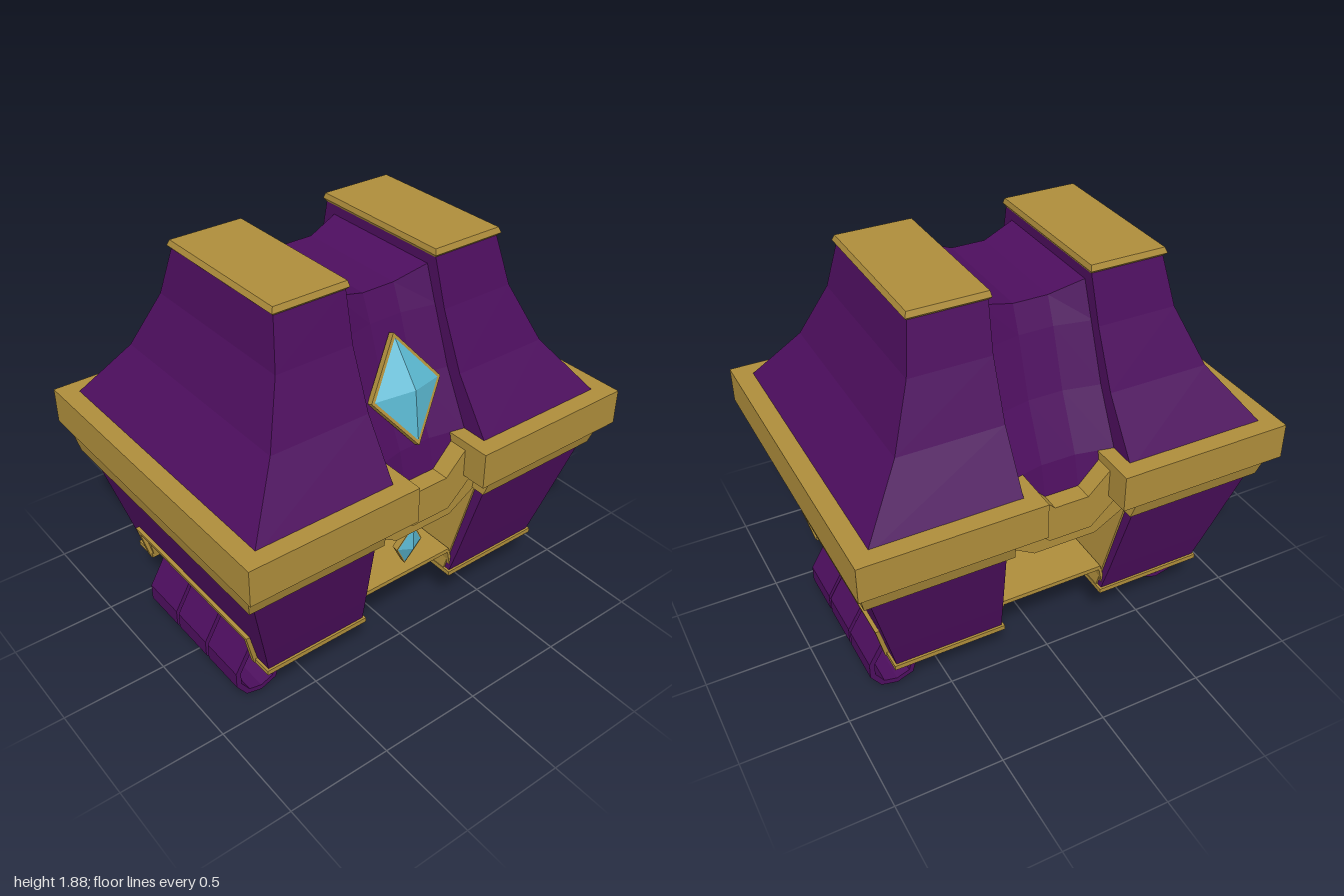
import * as THREE from 'three';

const purple = new THREE.MeshStandardMaterial({ color: 0x4d0e5e, flatShading: true });
const gold = new THREE.MeshStandardMaterial({ color: 0xae8d3b, flatShading: true });
const crystal = new THREE.MeshStandardMaterial({ color: 0x5cb9d2, flatShading: true });
purple.name = 'purple';
gold.name = 'gold';
crystal.name = 'crystal blue';

function add(parent, name, geometry, material) {
  const mesh = new THREE.Mesh(geometry, material);
  mesh.name = name;
  parent.add(mesh);
  return mesh;
}

// Solid skin through rings of equal point count, capped at both ends
function loft(rings) {
  const out = [];
  const tri = (a, b, c) => out.push(...a, ...b, ...c);
  const n = rings[0].length;
  for (let r = 0; r + 1 < rings.length; r++) {
    const a = rings[r], b = rings[r + 1];
    for (let i = 0; i < n; i++) {
      const j = (i + 1) % n;
      tri(a[i], a[j], b[j]);
      tri(a[i], b[j], b[i]);
    }
  }
  const first = rings[0], last = rings[rings.length - 1];
  const capFaces = THREE.ShapeUtils.triangulateShape(
    first.map((p, i) => flatPoint(first, p)), []);
  for (const [a, b, c] of capFaces) {
    tri(first[c], first[b], first[a]);
    tri(last[a], last[b], last[c]);
  }
  const g = new THREE.BufferGeometry();
  g.setAttribute('position', new THREE.Float32BufferAttribute(out, 3));
  g.computeVertexNormals();
  return g;
}

// Drops the constant axis of a planar ring, keeping its winding
function flatPoint(ring, p) {
  const level = ring.every(q => q[1] === ring[0][1]);
  return level ? new THREE.Vector2(p[0], -p[2]) : new THREE.Vector2(p[0], p[1]);
}

// Horizontal rectangles stacked in y: each level is [y, x0, x1, z0, z1]
const stack = (...levels) => loft(levels.map(([y, x0, x1, z0, z1]) =>
  [[x0, y, z0], [x0, y, z1], [x1, y, z1], [x1, y, z0]]));

// Outline drawn in (z, y), extruded across x
function across(points, halfWidth) {
  const shape = new THREE.Shape(points.map(([z, y]) => new THREE.Vector2(-z, y)));
  const g = new THREE.ExtrudeGeometry(shape, { depth: halfWidth * 2, bevelEnabled: false });
  return g.translate(0, 0, -halfWidth).rotateY(Math.PI / 2);
}

// Constant-thickness ribbon along a (z, y) path
function ribbon(path, thickness, halfWidth) {
  const pts = path.map(p => new THREE.Vector2(...p));
  const side = s => pts.map((p, i) => {
    const a = pts[Math.max(i - 1, 0)], b = pts[Math.min(i + 1, pts.length - 1)];
    const d = b.clone().sub(a).normalize();
    return [p.x - d.y * s, p.y + d.x * s];
  });
  return across([...side(thickness / 2), ...side(-thickness / 2).reverse()], halfWidth);
}

// Diamond gem with a gold backing, facing +x
function gem(name, x, y, halfH, halfW, depth, tilt) {
  const g = new THREE.Group();
  g.name = name;
  add(g, 'gemFrame', new THREE.CylinderGeometry(1, 1, 0.03, 4)
    .rotateZ(-Math.PI / 2).scale(1, halfH, halfW), gold);
  add(g, 'gemStone', new THREE.ConeGeometry(0.91, 1, 4).rotateZ(-Math.PI / 2)
    .translate(0.5, 0, 0).scale(depth, halfH, halfW).translate(0.016, 0, 0), crystal);
  g.position.set(x, y, 0);
  g.rotation.z = tilt;
  return g;
}

// One end of the body; the other end is the same turned half way round
function buildEnd(name) {
  const end = new THREE.Group();
  end.name = name;

  // Flared roof with cap
  add(end, 'roof', stack(
    [1.1, -0.71, 0.71, 0.25, 0.93], [1.37, -0.53, 0.53, 0.245, 0.72],
    [1.63, -0.42, 0.42, 0.24, 0.61], [1.855, -0.36, 0.36, 0.23, 0.57]), purple);
  add(end, 'roofCap', stack(
    [1.845, -0.36, 0.36, 0.23, 0.57], [1.86, -0.375, 0.375, 0.22, 0.585],
    [1.885, -0.365, 0.365, 0.225, 0.575]), gold);

  // Two-step rim
  add(end, 'upperRim', stack([0.95, -0.78, 0.78, 0.18, 1], [1.12, -0.78, 0.78, 0.18, 1]), gold);
  add(end, 'lowerRim', stack([0.815, -0.69, 0.69, 0.28, 0.95], [0.95, -0.73, 0.73, 0.3, 0.98]), gold);

  // Tapered leg, hollowed at the foot for the straps
  add(end, 'leg', stack([0.42, -0.57, 0.57, 0.275, 0.81], [0.82, -0.67, 0.67, 0.31, 0.92]), purple);
  add(end, 'legFoot', stack([0.27, -0.53, 0.53, 0.26, 0.56], [0.42, -0.57, 0.57, 0.275, 0.56]), purple);
  add(end, 'legInnerPanel', stack([0.27, -0.5, 0.5, 0.252, 0.262], [0.82, -0.62, 0.62, 0.3, 0.31]), gold);
  add(end, 'solePlate', stack([0.262, -0.545, 0.545, 0.25, 0.56], [0.285, -0.545, 0.545, 0.25, 0.56]), gold);
  add(end, 'notchCeiling', stack([0.412, -0.45, 0.45, 0.55, 0.81], [0.422, -0.45, 0.45, 0.55, 0.81]), gold);
  add(end, 'notchBack', stack([0.27, -0.43, 0.43, 0.55, 0.567], [0.42, -0.45, 0.45, 0.55, 0.567]), gold);
  for (const s of [-1, 1]) {
    const span = (a, b) => [Math.min(s * a, s * b), Math.max(s * a, s * b)];
    add(end, 'footPost', stack(
      [0.27, ...span(0.43, 0.53), 0.55, 0.77], [0.42, ...span(0.45, 0.57), 0.55, 0.81]), purple);
    add(end, 'notchSide', stack(
      [0.27, ...span(0.42, 0.432), 0.55, 0.775], [0.42, ...span(0.4, 0.452), 0.55, 0.81]), gold);
    add(end, 'footPostSole', stack(
      [0.262, ...span(0.42, 0.545), 0.55, 0.785], [0.285, ...span(0.42, 0.545), 0.55, 0.785]), gold);
  }

  // Gold frame round the notch, sheared to follow the leaning face
  const outline = [[-0.45, 0.265], [-0.465, 0.44], [0.465, 0.44], [0.45, 0.265],
    [0.425, 0.265], [0.44, 0.415], [-0.44, 0.415], [-0.425, 0.265]];
  const frame = new THREE.ExtrudeGeometry(
    new THREE.Shape(outline.map(p => new THREE.Vector2(...p))), { depth: 0.025, bevelEnabled: false });
  const pos = frame.attributes.position;
  for (let i = 0; i < pos.count; i++) {
    pos.setZ(i, pos.getZ(i) + 0.765 + (pos.getY(i) - 0.265) * 0.25);
  }
  frame.computeVertexNormals();
  add(end, 'notchFrame', frame, gold);

  // Three curled straps
  const curl = [[0.7, 0.41], [0.77, 0.28], [0.835, 0.17], [0.835, 0.1], [0.79, 0.035],
    [0.72, 0.018], [0.65, 0.045], [0.63, 0.11], [0.69, 0.16]];
  for (const x of [-0.228, 0.022, 0.272]) {
    add(end, 'curledStrap', ribbon(curl, 0.026, 0.115), purple).position.x = x;
  }
  return end;
}

export function createModel() {
  const model = new THREE.Group();
  model.name = 'ornateCasket';
  model.add(buildEnd('frontEnd'));
  const back = buildEnd('backEnd');
  back.rotation.y = Math.PI;
  model.add(back);

  // Sunken saddle joining the two roofs
  const profile = [[0.58, 0.96], [0.54, 1.12], [0.42, 1.37], [0.33, 1.63], [0.28, 1.75]];
  const saddle = [[-0.25, 1], [-0.08, 0], [0.08, 0], [0.25, 1]].map(([z, k]) => {
    const right = profile.map(([x, y], i) => [x + 0.035 * k, y + (i === 4 ? 0.055 * k : 0), z]);
    return [...right, ...right.map(([x, y]) => [-x, y, z]).reverse()];
  });
  add(model, 'saddle', loft(saddle), purple);

  // Rim dipping under the saddle
  add(model, 'upperRimDip', across([[0.19, 1.09], [0.18, 1.08], [0.08, 0.98], [-0.08, 0.98],
    [-0.18, 1.08], [-0.19, 1.09], [-0.25, 0.95], [-0.1, 0.81], [0.1, 0.81], [0.25, 0.95]], 0.66), gold);
  add(model, 'lowerRimDip', across([[0.33, 0.95], [-0.33, 0.95], [-0.3, 0.82],
    [-0.15, 0.73], [0.15, 0.73], [0.3, 0.82]], 0.62), gold);

  // Bridge between the feet
  add(model, 'footBridge', ribbon([[0.285, 0.272], [0.25, 0.408], [-0.25, 0.408], [-0.285, 0.272]],
    0.022, 0.53), gold);

  // Gems on the left side
  model.add(gem('upperGem', 0.462, 1.355, 0.245, 0.185, 0.06, 0.39));
  model.add(gem('lowerGem', 0.52, 0.58, 0.13, 0.072, 0.03, -0.2));
  return model;
}
